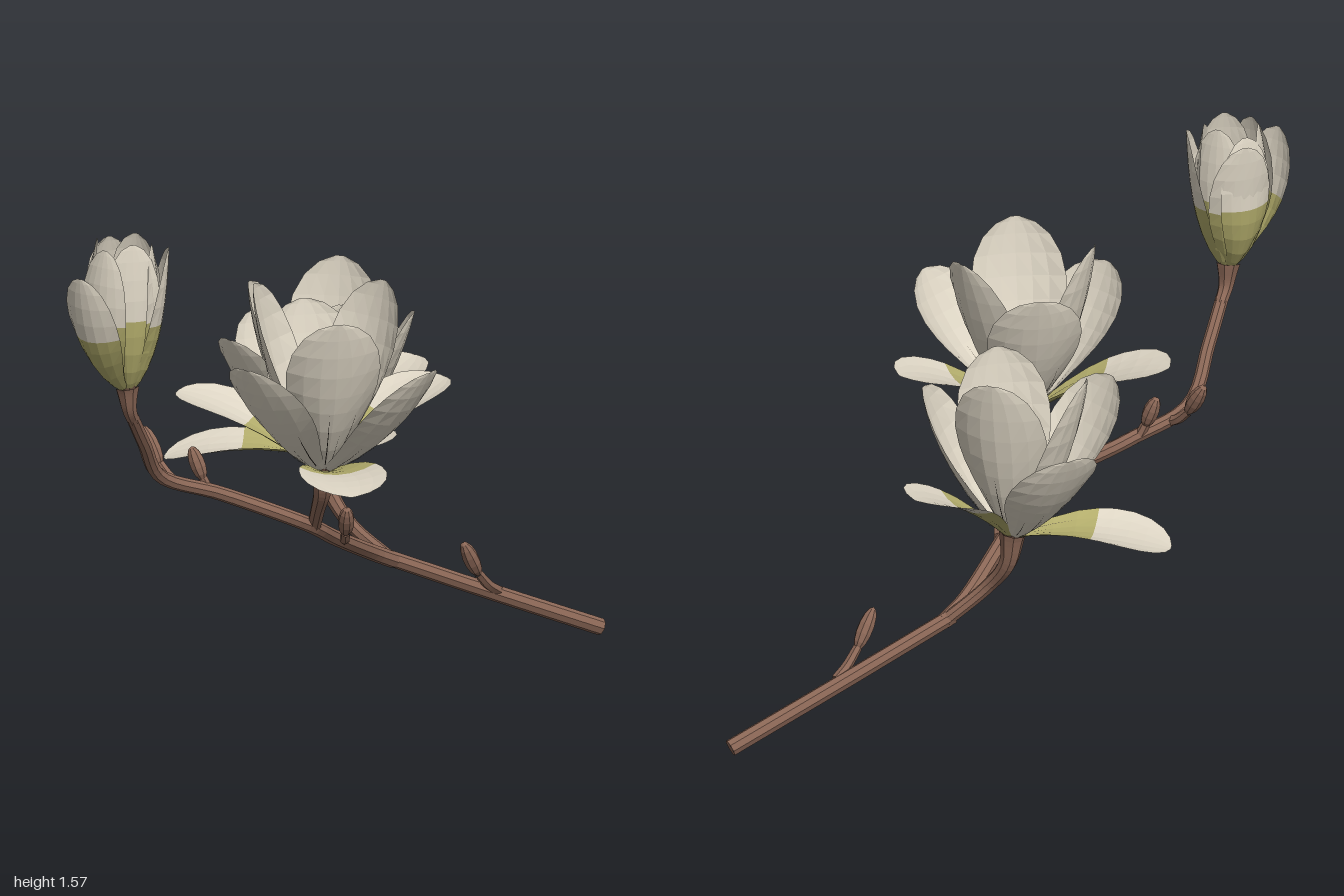
import * as THREE from 'three';
import { mergeGeometries } from 'three/addons/utils/BufferGeometryUtils.js';

const V = (x, y, z) => new THREE.Vector3(x, y, z);

function material(name, color, open = false) {
  const m = new THREE.MeshStandardMaterial({ color });
  m.name = name;
  if (open) m.side = THREE.DoubleSide;
  return m;
}

// Faceted copy that keeps material groups
function facet(geometry) {
  const flat = geometry.toNonIndexed();
  flat.clearGroups();
  geometry.groups.forEach(g => flat.addGroup(g.start, g.count, g.materialIndex));
  flat.computeVertexNormals();
  return flat;
}

// Petal outline: position along the midrib and relative half width, row by row
const ROWS = [0, .1, .22, .37, .5, .6, .72, .83, .92, .975, 1];
const WIDTHS = [.2, .32, .5, .73, .89, .97, 1, .92, .71, .42, .1];
const COLS = 6;

export function createModel() {
  const root = new THREE.Group();
  root.name = 'floweringBranch';
  const cream = material('cream petal', 0xddd5c4, true);
  const olive = material('olive petal base', 0xb3ad6c, true);
  const vein = material('dark vein', 0x544a40, true);
  const bark = material('brown bark', 0x8c6857);
  const stamen = material('dark stamen', 0x634a3d);

  function add(parent, name, geometry, mat) {
    const mesh = new THREE.Mesh(geometry, mat);
    mesh.name = name;
    parent.add(mesh);
    return mesh;
  }

  // Faceted wood along a smooth path; a high flare keeps the widening near the end
  function wood(parent, name, points, r0, r1, flare = 1, sides = 8) {
    const curve = new THREE.CatmullRomCurve3(points.map(p => V(...p)));
    const segs = points.length * 5;
    const geo = new THREE.TubeGeometry(curve, segs, 1, sides);
    const pos = geo.attributes.position, p = V(0, 0, 0);
    for (let i = 0; i < pos.count; i++) {
      const t = Math.floor(i / (sides + 1)) / segs, c = curve.getPointAt(t);
      p.fromBufferAttribute(pos, i).sub(c).multiplyScalar(r0 + (r1 - r0) * t ** flare).add(c);
      pos.setXYZ(i, p.x, p.y, p.z);
    }
    add(parent, name, facet(geo), bark);
    const cap = add(parent, name + 'End', new THREE.CircleGeometry(r0, sides), bark);
    cap.position.copy(curve.getPointAt(0));
    cap.quaternion.setFromUnitVectors(V(0, 0, 1), curve.getTangentAt(0).negate());
  }

  // Petal from base to tip; bulge = control point share of [reach, height, extra lift]
  function petal(parent, name, base, tip, width, cup, bulge, oliveRows, veinRows) {
    const out = V(tip.x - base.x, 0, tip.z - base.z);
    const reach = out.length(), rise = tip.y - base.y;
    out.normalize();
    const side = V(-out.z, 0, out.x);
    const start = base.clone().addScaledVector(out, .02);
    const ctrl = base.clone().addScaledVector(out, bulge[0] * reach);
    ctrl.y += bulge[1] * rise + bulge[2];
    const rib = new THREE.QuadraticBezierCurve3(start, ctrl, tip);
    // The cupping relaxes towards the tip
    const at = (row, u, off = 0) => {
      const w = WIDTHS[row] * width;
      const n = side.clone().cross(rib.getTangent(ROWS[row]));
      return rib.getPoint(ROWS[row]).addScaledVector(side, u * w)
        .addScaledVector(n, cup * (1.4 - ROWS[row]) * u * u * w + off);
    };

    const pos = [], index = [];
    ROWS.forEach((_, r) => {
      for (let c = 0; c <= COLS; c++) pos.push(...at(r, c / COLS * 2 - 1).toArray());
    });
    for (let r = 0; r < ROWS.length - 1; r++) for (let c = 0; c < COLS; c++) {
      const a = r * (COLS + 1) + c, b = a + COLS + 1;
      index.push(a, a + 1, b, b, a + 1, b + 1);
    }
    const geo = new THREE.BufferGeometry();
    geo.setAttribute('position', new THREE.Float32BufferAttribute(pos, 3));
    geo.setIndex(index);
    const split = oliveRows * COLS * 6;
    if (split) geo.addGroup(0, split, 0);
    geo.addGroup(split, index.length - split, 1);
    add(parent, name, facet(geo), [olive, cream]);
    if (!veinRows) return;

    // Fine tapering streaks on both faces near the base
    const streaks = [];
    for (const off of [-.003, .003]) for (const [k, u] of [-.6, -.25, .1, .5].entries()) {
      const last = veinRows - k % 2;
      for (let r = 1; r < last; r++) {
        const h0 = .018 * (last - r) / 2, h1 = .018 * (last - r - 1) / 2;
        const [a, b, c, d] = [at(r, u - h0, off), at(r, u + h0, off), at(r + 1, u - h1, off), at(r + 1, u + h1, off)];
        [a, b, c, c, b, d].forEach(p => streaks.push(p.x, p.y, p.z));
      }
    }
    const lines = new THREE.BufferGeometry();
    lines.setAttribute('position', new THREE.Float32BufferAttribute(streaks, 3));
    lines.computeVertexNormals();
    add(parent, name + 'Veins', lines, vein);
  }

  // Stamen cluster: a rounded core ringed by short leaning filaments
  function heart(parent, base, size) {
    const parts = [new THREE.SphereGeometry(1, 9, 6).scale(.04, .08, .04).translate(0, .05, 0)];
    for (let i = 0; i < 16; i++) {
      parts.push(new THREE.ConeGeometry(.011, .1, 4).translate(0, .06, 0)
        .rotateZ(-.5).translate(.012, 0, 0).rotateY(i / 16 * Math.PI * 2));
    }
    const mesh = add(parent, 'stamens', facet(mergeGeometries(parts)), stamen);
    mesh.position.copy(base);
    mesh.scale.setScalar(size);
  }

  // Branch and stems, flaring into a cup under each flower
  wood(root, 'mainBranch', [[.985, .03, -.2], [.6, .195, -.2], [.27, .34, -.2]], .026, .024);
  wood(root, 'upperBranch', [[.3, .325, -.2], [.22, .365, -.165], [0, .49, .01], [-.13, .57, .095],
    [-.4, .69, .06], [-.6, .77, .07], [-.7, .91, .16], [-.775, 1.02, .235]], .025, .02);
  wood(root, 'halfOpenFlowerStem', [[-.765, 1.005, .225], [-.79, 1.05, .245], [-.8, 1.125, .25]], .02, .038, 2);
  wood(root, 'rearFlowerStem', [[.29, .33, -.2], [.18, .44, -.25], [.14, .54, -.315], [.13, .645, -.33]], .021, .042, 4);
  wood(root, 'frontFlowerStem', [[-.1, .55, .08], [-.12, .63, .15], [-.13, .7, .2], [-.135, .775, .215]], .021, .04, 3);

  // Open flowers: three whorls of tips, each spread further than the one inside it
  const flowers = [
    { name: 'frontFlower', base: V(-.135, .765, .215),
      outer: [[-.26, .82, .67], [-.47, .975, -.09], [.3, .985, .14]],
      middle: [[.06, 1.13, .54], [-.45, 1.15, .34], [-.08, 1.23, -.03]],
      inner: [[-.2, 1.29, .46], [-.3, 1.33, .08], [.1, 1.31, .15]] },
    { name: 'rearFlower', base: V(.13, .63, -.33),
      outer: [[-.28, .62, -.57], [.5, .865, -.47], [.08, .77, .07]],
      middle: [[.09, 1.01, -.68], [.36, 1.09, -.18], [-.22, 1.06, -.25]],
      inner: [[.1, 1.16, -.13], [-.05, 1.16, -.47], [.26, 1.2, -.48]] },
  ];
  const whorls = {
    outer: [.13, .28, [.5, .48, .062], 4, 3],
    middle: [.142, .5, [.72, .34, 0], 0, 4],
    inner: [.143, .56, [.8, .35, 0], 0, 4],
  };
  for (const f of flowers) {
    const group = new THREE.Group();
    group.name = f.name;
    root.add(group);
    heart(group, f.base, 1);
    for (const [whorl, shape] of Object.entries(whorls)) {
      f[whorl].forEach(t => petal(group, whorl + 'Petal', f.base, V(...t), ...shape));
    }
  }

  // Half-open flower at the tip of the branch
  const half = new THREE.Group();
  half.name = 'halfOpenFlower';
  root.add(half);
  const hb = V(-.8, 1.11, .25);
  heart(half, hb, .85);
  for (const t of [[-.995, 1.5, .33], [-.685, 1.55, .3], [-.8, 1.55, .115]]) {
    petal(half, 'outerPetal', hb, V(...t), .095, .6, [.95, .25, 0], 5, 0);
  }
  for (let i = 0; i < 6; i++) {
    const a = (i + .5) / 6 * Math.PI * 2, r = i % 2 ? .075 : .09;
    const tip = V(hb.x - .015 + r * Math.cos(a), i % 2 ? 1.58 : 1.565, hb.z - .005 + r * Math.sin(a));
    petal(half, 'innerPetal', hb, tip, .085, .45, [1.85, .3, 0], 5, 0);
  }

  // Closed buds on short stalks: foot, neck, tip
  const buds = [
    [[.64, .19, -.19], [.555, .265, -.15], [.495, .37, -.125]],
    [[.04, .475, 0], [.02, .51, .05], [0, .6, .1]],
    [[-.42, .69, .06], [-.45, .74, .045], [-.475, .83, .02]],
    [[-.53, .73, .06], [-.565, .785, -.01], [-.59, .885, -.07]],
  ];
  for (const [foot, neck, tip] of buds) {
    wood(root, 'budStalk', [foot, neck.map((n, i) => (n + foot[i]) / 2 - (i === 1 ? .008 : 0)), neck], .017, .014, 1, 6);
    const a = V(...neck), b = V(...tip), axis = b.clone().sub(a), len = axis.length();
    const bud = add(root, 'closedBud', facet(new THREE.SphereGeometry(1, 8, 7).scale(.025, len * .56, .025)), bark);
    bud.position.copy(a).lerp(b, .48);
    bud.quaternion.setFromUnitVectors(V(0, 1, 0), axis.normalize());
  }
  return root;
}
